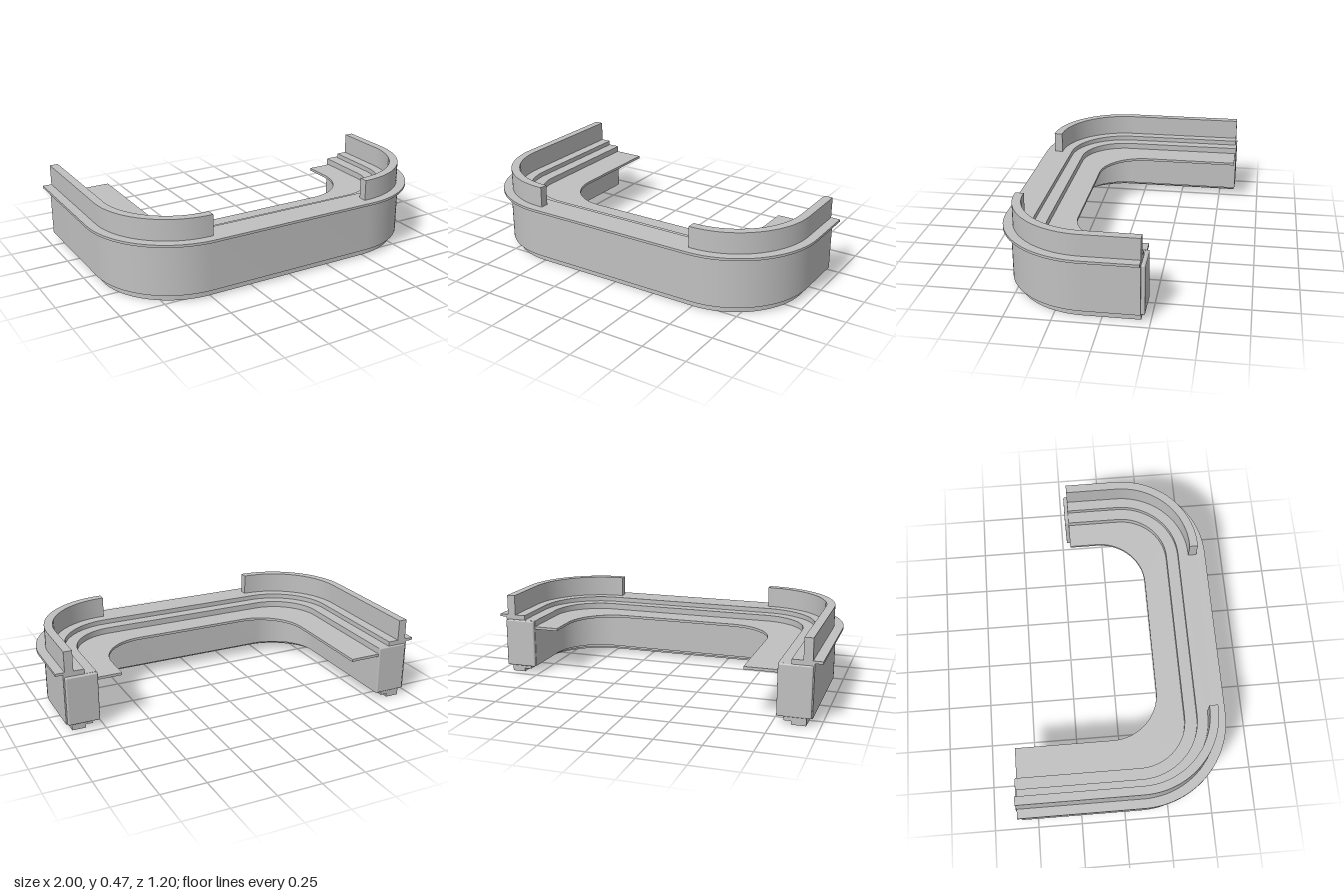
import * as THREE from 'three';
import { toCreasedNormals } from 'three/addons/utils/BufferGeometryUtils.js';
import { RoundedBoxGeometry } from 'three/addons/geometries/RoundedBoxGeometry.js';

const LEFT_END = -0.2;    // short arm, +x
const RIGHT_END = -0.592; // long arm, -x

export function createModel() {
  const group = new THREE.Group();
  const grey = new THREE.MeshStandardMaterial({ color: 0xc0c0c0 });
  grey.name = 'light grey';

  const add = (name, geometry) => {
    const mesh = new THREE.Mesh(geometry, grey);
    mesh.name = name;
    group.add(mesh);
    return mesh;
  };

  // One arm and its rounded corner: half width w, front z, corner radius r
  const arm = (side, zEnd, w, front, r) => {
    const points = [new THREE.Vector2(side * w, -zEnd)];
    for (let i = 0; i <= 24; i++) {
      const a = (i / 24) * Math.PI / 2;
      points.push(new THREE.Vector2(
        side * (w - r + r * Math.cos(a)),
        -(front - r + r * Math.sin(a))));
    }
    return points;
  };
  // Arm set in by d from the outer edge of the counter
  const inset = (side, zEnd, d) => arm(side, zEnd, 1 - d, 0.6 - d, 0.5 - d);
  const line = (d, trim = 0) => [
    ...inset(1, LEFT_END - trim, d),
    ...inset(-1, RIGHT_END - trim, d).reverse(),
  ];

  // Flat outline raised from y0 to y1
  const raise = (name, points, y0, y1) => {
    const geometry = new THREE.ExtrudeGeometry(new THREE.Shape(points), {
      depth: y1 - y0, bevelEnabled: false,
    });
    geometry.rotateX(-Math.PI / 2);
    geometry.translate(0, y0, 0);
    return add(name, toCreasedNormals(geometry, 0.5));
  };
  const band = (name, d0, d1, y0, y1) =>
    raise(name, [...line(d0), ...line(d1).reverse()], y0, y1);

  // Stepped plinth
  band('plinth', 0.073, 0.15, 0, 0.042);
  band('plinthStep', 0.149, 0.19, 0.02, 0.042);

  // Body, inner ledge and overhanging counter top
  band('body', 0.042, 0.16, 0.042, 0.333);
  band('innerLedge', 0.159, 0.228, 0.042, 0.32);
  band('counterTop', 0, 0.16, 0.333, 0.347);

  // Desk surface on the inside, with its own corner radius
  raise('desk', [
    ...line(0.226),
    ...arm(-1, RIGHT_END, 0.595, 0.23, 0.27),
    ...arm(1, LEFT_END, 0.63, 0.23, 0.27).reverse(),
  ], 0.27, 0.285);

  // Curved screens and end panels on both arms
  for (const [label, side, zEnd] of [['left', 1, LEFT_END], ['right', -1, RIGHT_END]]) {
    const tip = (d) => new THREE.Vector2(side * 0.485, -(0.6 - d));
    raise(label + 'Screen', [
      ...inset(side, zEnd, 0.052), tip(0.052),
      tip(0.1), ...inset(side, zEnd, 0.1).reverse(),
    ], 0.347, 0.465);

    const panel = add(label + 'EndPanel', new RoundedBoxGeometry(0.18, 0.28, 0.024, 3, 0.008));
    panel.position.set(side * 0.862, 0.181, zEnd - (side > 0 ? 0.01 : -0.004));
  }

  return group;
}
